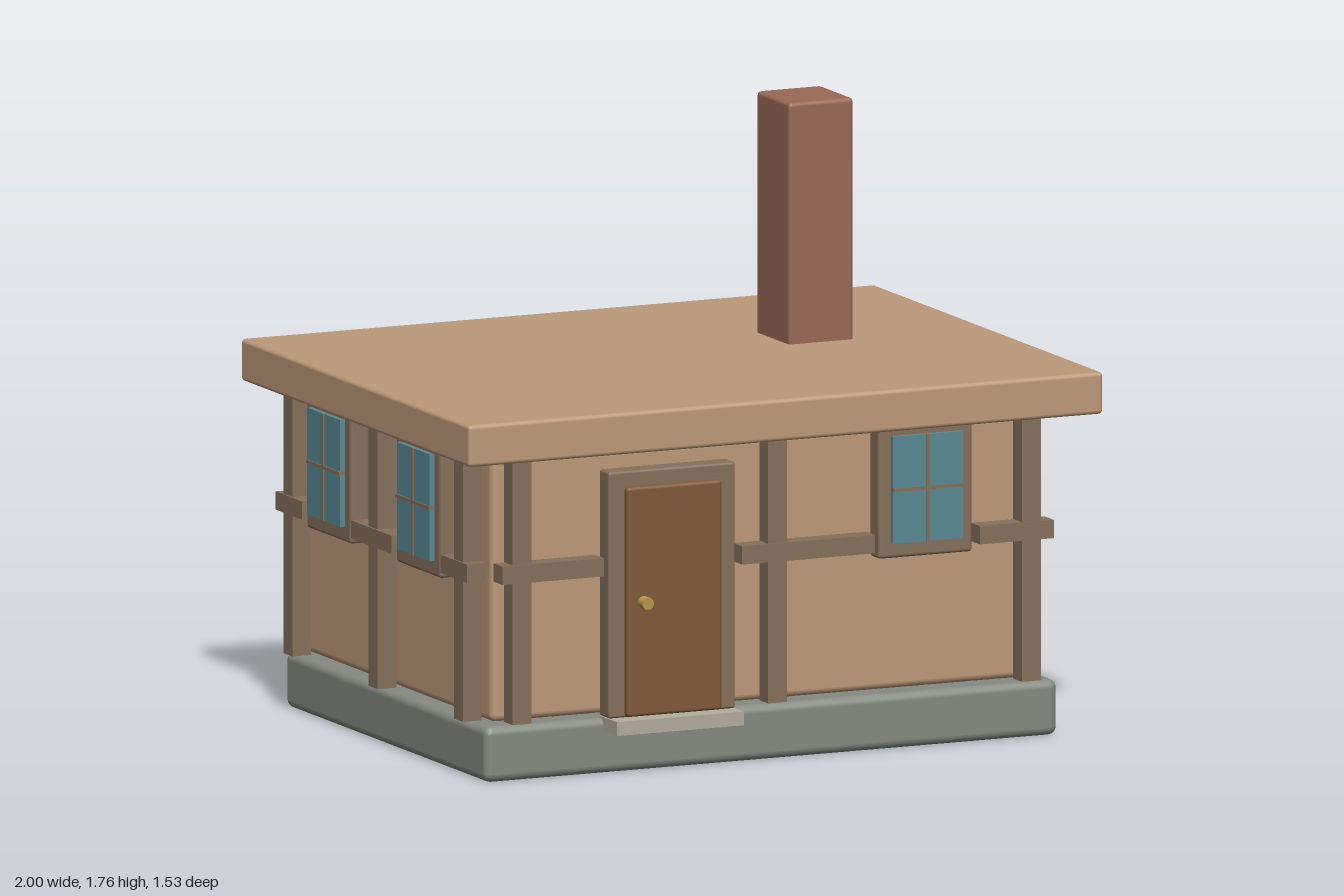
import * as THREE from 'three';
import { RoundedBoxGeometry } from 'three/addons/geometries/RoundedBoxGeometry.js';

const mat = (color) => new THREE.MeshStandardMaterial({ color });
const plaster = mat(0xbd9a7a), stone = mat(0x858a82), brick = mat(0x9a6856), timber = mat(0x85705a);
const doorWood = mat(0x7f5a3a), glass = mat(0x5a8a94), brass = mat(0xb8964a), slab = mat(0xb4ad9e);

// Box given by its ranges on each axis, with optional rounded edges
function block(parent, name, material, [x0, x1], [y0, y1], [z0, z1], radius = 0) {
  const size = [x1 - x0, y1 - y0, z1 - z0];
  const geometry = radius
    ? new RoundedBoxGeometry(...size, 2, radius)
    : new THREE.BoxGeometry(...size);
  const mesh = new THREE.Mesh(geometry, material);
  mesh.name = name;
  mesh.position.set((x0 + x1) / 2, (y0 + y1) / 2, (z0 + z1) / 2);
  parent.add(mesh);
  return mesh;
}

// Upright posts and the broken horizontal rail of one wall
function timberFrame(parent, postCentres, rails) {
  for (const x of postCentres)
    block(parent, 'post', timber, [x - 0.03, x + 0.03], [0.17, 0.94], [0.648, 0.707]);
  for (const span of rails)
    block(parent, 'rail', timber, span, [0.58, 0.633], [0.653, 0.713]);
}

// Four-pane window centred on x
function addWindow(parent, x) {
  const group = new THREE.Group();
  group.name = 'window';
  group.position.x = x;
  parent.add(group);
  block(group, 'windowFrame', timber, [-0.148, 0.148], [0.56, 0.94], [0.645, 0.707], 0.01);
  for (const sx of [-1, 1])
    for (const y of [0.605, 0.765]) {
      const xs = sx < 0 ? [-0.11, -0.005] : [0.005, 0.11];
      block(group, 'pane', glass, xs, [y, y + 0.15], [0.69, 0.722]);
    }
  block(group, 'mullion', timber, [-0.005, 0.005], [0.605, 0.915], [0.69, 0.726]);
  block(group, 'glazingBar', timber, [-0.11, 0.11], [0.755, 0.765], [0.69, 0.726]);
}

function addDoor(parent) {
  const group = new THREE.Group();
  group.name = 'door';
  group.position.x = -0.335;
  parent.add(group);
  block(group, 'doorFrame', timber, [-0.2, 0.2], [0.165, 0.88], [0.648, 0.713], 0.008);
  block(group, 'doorPanel', doorWood, [-0.15, 0.15], [0.168, 0.835], [0.67, 0.732], 0.01);
  block(group, 'doorstep', slab, [-0.2, 0.2], [0.125, 0.165], [0.65, 0.768]);
  const knob = new THREE.Mesh(new THREE.CylinderGeometry(0.018, 0.018, 0.035, 16), brass);
  knob.name = 'doorKnob';
  knob.rotation.x = Math.PI / 2;
  knob.position.set(-0.1, 0.5, 0.748);
  group.add(knob);
}

export function createModel() {
  const house = new THREE.Group();
  house.name = 'cottage';

  // Main masses
  block(house, 'foundation', stone, [-0.905, 0.9], [0, 0.162], [-0.672, 0.677], 0.025);
  block(house, 'walls', plaster, [-0.87, 0.865], [0.168, 0.932], [-0.637, 0.64], 0.02);
  block(house, 'roof', plaster, [-1, 1], [0.938, 1.06], [-0.765, 0.765], 0.012);
  block(house, 'chimney', brick, [0.373, 0.577], [1.0, 1.76], [-0.228, -0.008], 0.012);

  // Front wall
  const front = new THREE.Group();
  front.name = 'frontFacade';
  timberFrame(front, [-0.805, 0, 0.8], [[-0.87, -0.55], [-0.115, 0.305], [0.635, 0.868]]);
  addDoor(front);
  addWindow(front, 0.467);
  house.add(front);

  // Timbered end wall, facing -x
  const side = new THREE.Group();
  side.name = 'sideFacade';
  side.rotation.y = -Math.PI / 2;
  side.position.x = -0.235;
  timberFrame(side, [-0.57, 0, 0.57], [[-0.64, -0.465], [-0.135, 0.135], [0.465, 0.64]]);
  for (const z of [-0.3, 0.3]) addWindow(side, z);
  house.add(side);

  return house;
}
